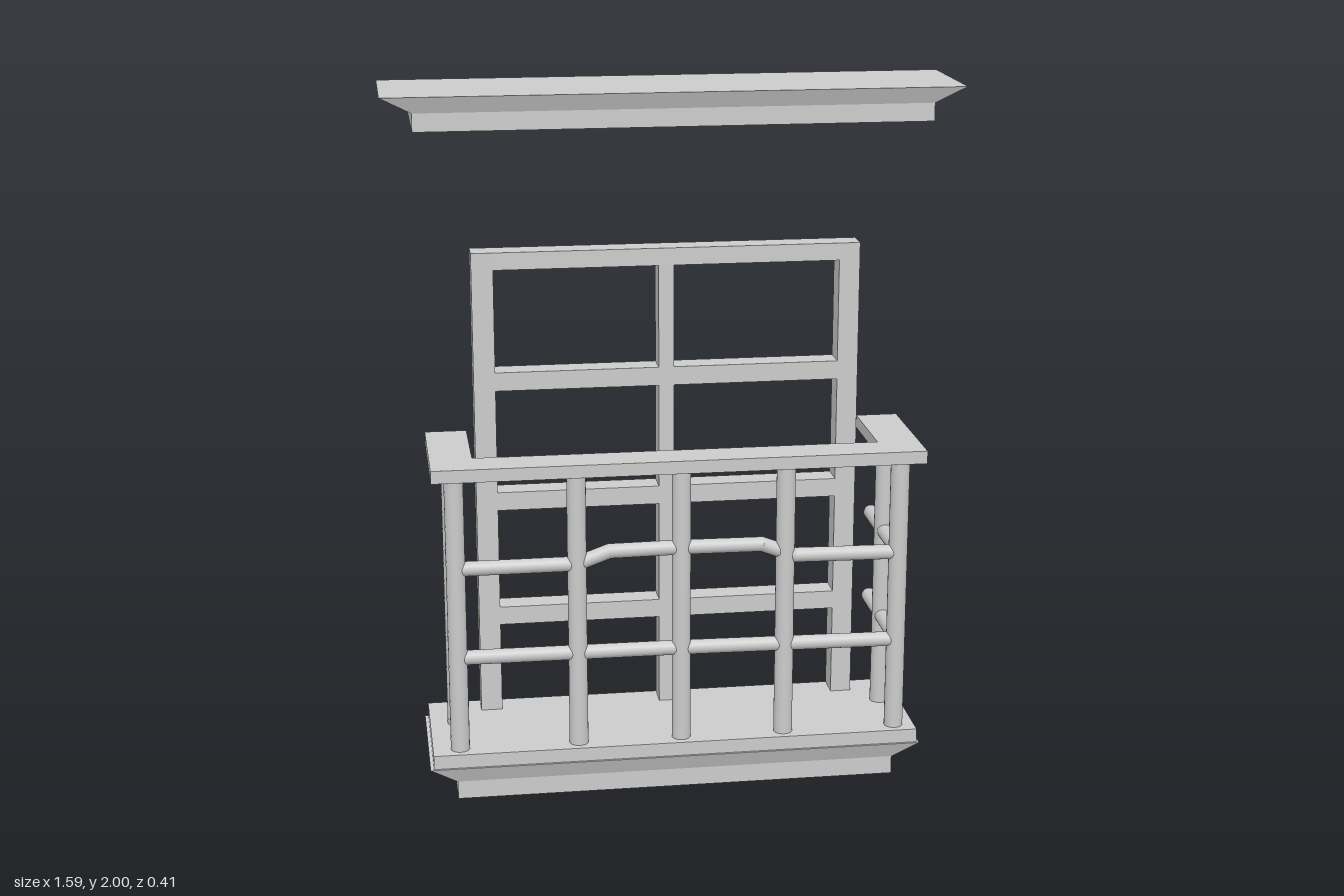
import * as THREE from 'three';

const material = new THREE.MeshStandardMaterial({ color: 0xcccccc });

export function createModel() {
  const model = new THREE.Group();

  const add = (name, geometry, parent = model) => {
    const mesh = new THREE.Mesh(geometry, material);
    mesh.name = name;
    parent.add(mesh);
    return mesh;
  };
  const group = (name) => {
    const g = new THREE.Group();
    g.name = name;
    model.add(g);
    return g;
  };
  // Box given by its limits on each axis
  const block = (name, x0, x1, y0, y1, z0, z1, parent) => {
    const g = new THREE.BoxGeometry(x1 - x0, y1 - y0, z1 - z0);
    g.translate((x0 + x1) / 2, (y0 + y1) / 2, (z0 + z1) / 2);
    return add(name, g, parent);
  };
  // Box whose lower edges are drawn in at the two ends and the front
  const moulding = (name, x0, x1, y0, y1, z0, z1, insetX, insetZ, parent) => {
    const mesh = block(name, x0, x1, y0, y1, z0, z1, parent);
    const p = mesh.geometry.attributes.position;
    const mid = (y0 + y1) / 2, midX = (x0 + x1) / 2, midZ = (z0 + z1) / 2;
    for (let i = 0; i < p.count; i++) {
      if (p.getY(i) > mid) continue;
      p.setX(i, p.getX(i) + (p.getX(i) < midX ? insetX : -insetX));
      if (p.getZ(i) > midZ) p.setZ(i, p.getZ(i) - insetZ);
    }
    mesh.geometry.computeVertexNormals();
  };
  // Round bar running through a list of points, with ball joints at the bends
  const bar = (name, points, radius, parent) => {
    const pts = points.map((p) => new THREE.Vector3(...p));
    for (let i = 1; i < pts.length; i++) {
      const dir = pts[i].clone().sub(pts[i - 1]);
      const mesh = add(name, new THREE.CylinderGeometry(radius, radius, dir.length(), 20), parent);
      mesh.position.copy(pts[i]).add(pts[i - 1]).multiplyScalar(0.5);
      mesh.quaternion.setFromUnitVectors(new THREE.Vector3(0, 1, 0), dir.normalize());
      if (i < pts.length - 1) {
        add(name + 'Joint', new THREE.SphereGeometry(radius, 20, 12), parent).position.copy(pts[i]);
      }
    }
  };

  // Overhead cornice
  const cornice = group('cornice');
  moulding('corniceSlope', -0.795, 0.79, 1.955, 2, -0.19, 0.163, 0.085, 0.02, cornice);
  block('corniceBlock', -0.71, 0.705, 1.905, 1.955, -0.188, 0.143, cornice);

  // Balcony floor
  const base = group('base');
  block('floorSlab', -0.705, 0.695, 0.1, 0.14, -0.193, 0.198, base);
  moulding('baseSlope', -0.715, 0.702, 0.053, 0.1, -0.193, 0.205, 0.075, 0.02, base);
  block('baseBlock', -0.638, 0.625, 0, 0.053, -0.197, 0.185, base);

  // Door and window frame with glazing bars
  const frame = group('windowFrame');
  const back = -0.192, front = -0.117;
  block('leftStile', 0.505, 0.565, 0.14, 1.52, back, front, frame);
  block('rightStile', -0.55, -0.488, 0.14, 1.52, back, front, frame);
  block('topRail', -0.488, 0.505, 1.47, 1.52, back, front, frame);
  block('mullion', -0.018, 0.026, 0.14, 1.47, back, front, frame);
  for (const y of [0.408, 0.76, 1.118]) {
    block('crossRail', -0.488, -0.018, y, y + 0.054, back, front, frame);
    block('crossRail', 0.026, 0.505, y, y + 0.054, back, front, frame);
  }

  // U-shaped flat handrail
  const rail = new THREE.Shape([
    [-0.69, 0.205], [-0.69, -0.185], [0.705, -0.185], [0.705, 0.205],
    [0.585, 0.205], [0.585, -0.075], [-0.57, -0.075], [-0.57, 0.205],
  ].map(([x, y]) => new THREE.Vector2(x, y)));
  const railGeometry = new THREE.ExtrudeGeometry(rail, { depth: 0.037, bevelEnabled: false });
  railGeometry.rotateX(-Math.PI / 2);
  // Shape y becomes -z, so the open side faces the wall
  railGeometry.translate(0, 0.943, 0);
  add('handrail', railGeometry);

  // Upright posts
  const railing = group('railing');
  const postZ = 0.152, sideZ = -0.036, endX = [-0.627, 0.635];
  for (const x of [-0.627, -0.287, 0.009, 0.307, 0.635]) {
    bar('frontPost', [[x, 0.13, postZ], [x, 0.95, postZ]], 0.027, railing);
  }
  for (const x of endX) {
    bar('sidePost', [[x, 0.13, sideZ], [x, 0.95, sideZ]], 0.027, railing);
    for (const y of [0.413, 0.678]) {
      bar('sideBar', [[x, y, 0.145], [x, y, -0.2]], 0.022, railing);
    }
  }

  // Front bars, the upper one raised in the middle
  bar('lowerFrontBar', [[-0.61, 0.417, postZ], [0.009, 0.415, postZ], [0.62, 0.408, postZ]], 0.021, railing);
  bar('upperFrontBar', [
    [-0.61, 0.682, postZ], [-0.287, 0.682, postZ], [-0.195, 0.715, postZ], [0.009, 0.717, postZ],
    [0.24, 0.715, postZ], [0.335, 0.678, postZ], [0.62, 0.674, postZ],
  ], 0.021, railing);

  return model;
}
